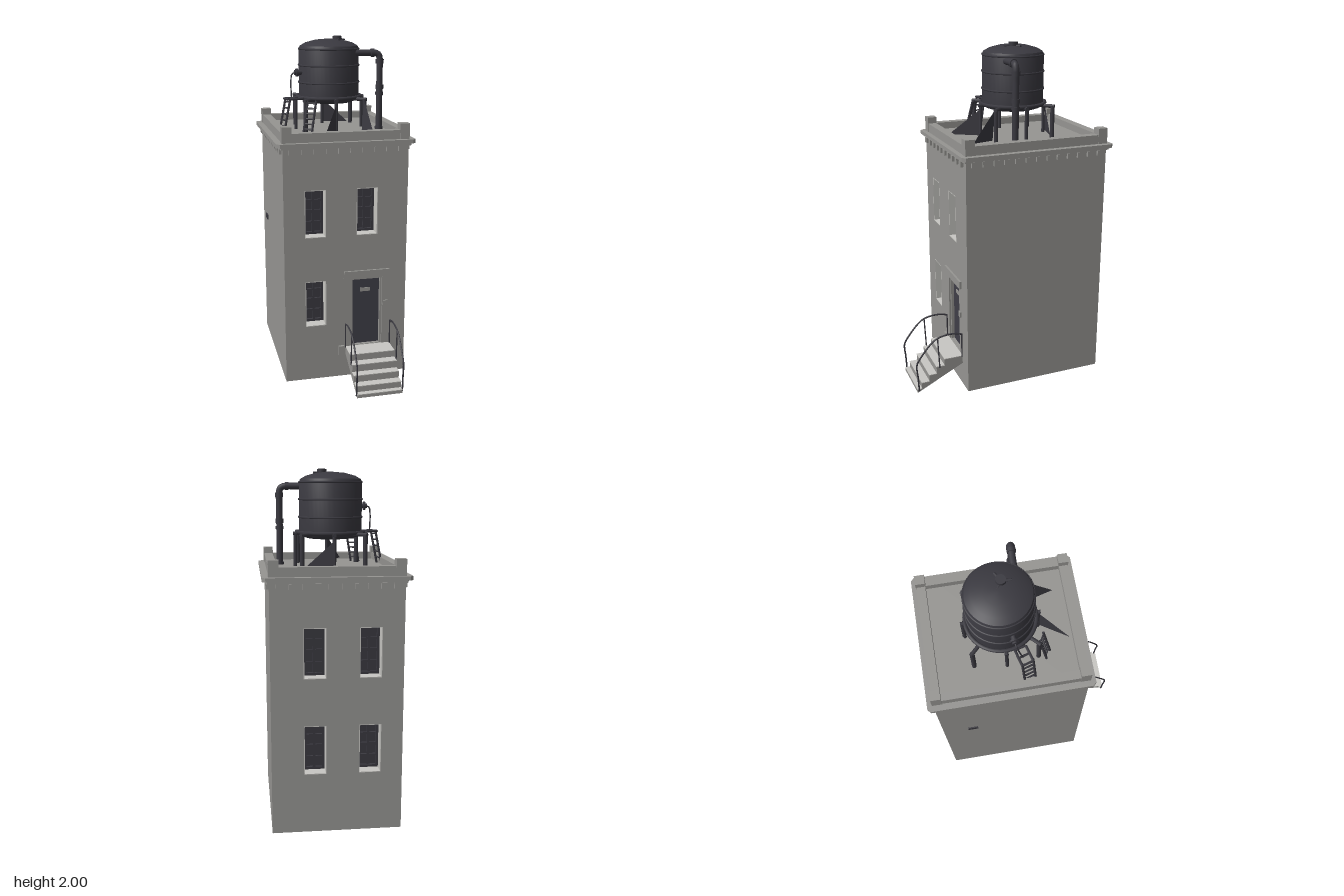
import * as THREE from 'three';
import { toCreasedNormals } from 'three/addons/utils/BufferGeometryUtils.js';

const V = (x, y, z) => new THREE.Vector3(x, y, z);

export function createModel() {
  const model = new THREE.Group();
  model.name = 'rowHouse';
  const stone = new THREE.MeshStandardMaterial({ name: 'grey stone', color: 0x969592 });
  const pale = new THREE.MeshStandardMaterial({ name: 'pale stone', color: 0xc8c7c3 });
  const iron = new THREE.MeshStandardMaterial({ name: 'dark iron', color: 0x3a3940, side: THREE.DoubleSide });
  const doorPaint = new THREE.MeshStandardMaterial({ name: 'door slate', color: 0x3f3e48 });

  // Helpers
  const add = (name, geo, mat, parent = model) => {
    const m = new THREE.Mesh(geo, mat);
    m.name = name;
    parent.add(m);
    return m;
  };
  const box = (name, mat, x0, x1, y0, y1, z0, z1, parent) => {
    const m = add(name, new THREE.BoxGeometry(x1 - x0, y1 - y0, Math.abs(z1 - z0)), mat, parent);
    m.position.set((x0 + x1) / 2, (y0 + y1) / 2, (z0 + z1) / 2);
    return m;
  };
  const rod = (name, a, b, r, mat = iron, sides = 10) => {
    const d = b.clone().sub(a);
    const m = add(name, new THREE.CylinderGeometry(r, r, d.length(), sides), mat);
    m.position.copy(a).addScaledVector(d, 0.5);
    m.quaternion.setFromUnitVectors(V(0, 1, 0), d.normalize());
    return m;
  };
  const rectPoints = (x0, x1, y0, y1) => [[x0, y0], [x1, y0], [x1, y1], [x0, y1]].map(p => new THREE.Vector2(...p));
  const panel = (outer, holes, depth) => {
    const shape = new THREE.Shape(rectPoints(...outer));
    holes.forEach(h => shape.holes.push(new THREE.Path(rectPoints(...h))));
    return new THREE.ExtrudeGeometry(shape, { depth, bevelEnabled: false });
  };

  // Building body: solid core with pierced front and back walls
  const W = 0.364, ZF = 0.3, ZB = -0.56, ZC = -0.13, ROOF = 1.45, REC = 0.09;
  const cols = [[-0.243, -0.12], [0.06, 0.185]], rows = [[0.34, 0.62], [0.885, 1.165]];
  const doorHole = [0.03, 0.22, 0.19, 0.62];
  const frontWindows = [[...cols[0], ...rows[0]], [...cols[0], ...rows[1]], [...cols[1], ...rows[1]]];
  const backWindows = cols.flatMap(c => rows.map(r => [...c, ...r]));
  box('buildingCore', stone, -W, W, 0, ROOF, ZB + REC, ZF - REC);
  add('frontWall', panel([-W, W, 0, ROOF], [...frontWindows, doorHole], REC), stone).position.z = ZF - REC;
  add('backWall', panel([-W, W, 0, ROOF], backWindows, REC), stone).position.z = ZB;

  // Recessed windows: pale reveal, dark pane, frame and glazing bars
  function windowUnit(hole, s) {
    const g = new THREE.Group();
    g.name = 'window';
    model.add(g);
    const [x0, x1, y0, y1] = hole, e = 0.004, f = 0.018;
    const inner = s > 0 ? ZF - REC : ZB + REC;
    add('reveal', panel(hole, [[x0 + e, x1 - e, y0 + e, y1 - e]], REC), pale, g).position.z = s > 0 ? inner : ZB;
    const zBar = inner + s * 0.018;
    box('pane', iron, x0 + e, x1 - e, y0 + e, y1 - e, inner, inner + s * 0.006, g);
    add('frame', panel([x0 + e, x1 - e, y0 + e, y1 - e], [[x0 + f, x1 - f, y0 + f, y1 - f]], 0.022), iron, g)
      .position.z = Math.min(inner, inner + s * 0.022);
    const cx = (x0 + x1) / 2, h = y1 - y0;
    box('mullion', iron, cx - 0.006, cx + 0.006, y0 + f, y1 - f, inner, zBar, g);
    [0.27, 0.5, 0.73].forEach(t => {
      const y = y0 + h * t, r = t === 0.5 ? 0.009 : 0.005;
      box('glazingBar', iron, x0 + f, x1 - f, y - r, y + r, inner, zBar, g);
    });
  }
  frontWindows.forEach(h => windowUnit(h, 1));
  backWindows.forEach(h => windowUnit(h, -1));

  // Door, lintel and wall fittings
  const [dx0, dx1, dy0, dy1] = doorHole;
  box('door', doorPaint, dx0 + 0.012, dx1 - 0.012, dy0, dy1 - 0.012, ZF - REC, 0.272);
  add('doorFrame', panel(doorHole, [[dx0 + 0.012, dx1 - 0.012, dy0 + 0.002, dy1 - 0.012]], 0.08), stone).position.z = ZF - REC;
  box('doorPlate', stone, 0.092, 0.152, 0.525, 0.548, 0.271, 0.276);
  box('doorLintel', stone, -0.015, 0.262, 0.622, 0.668, 0.29, 0.312);
  box('bellBox', stone, 0.226, 0.254, 0.435, 0.468, 0.295, 0.308);
  box('letterBox', stone, -0.045, -0.012, 0.14, 0.2, 0.295, 0.315);
  box('sideVent', iron, -W - 0.007, -W + 0.01, 0.825, 0.855, -0.41, -0.35);

  // Cornice with clipped corners
  const slab = (name, hx, hz, c, y0, y1) => {
    const s = new THREE.Shape([[-hx + c, -hz], [hx - c, -hz], [hx, -hz + c], [hx, hz - c], [hx - c, hz],
      [-hx + c, hz], [-hx, hz - c], [-hx, -hz + c]].map(p => new THREE.Vector2(...p)));
    const geo = new THREE.ExtrudeGeometry(s, { depth: y1 - y0, bevelEnabled: false }).rotateX(-Math.PI / 2);
    add(name, geo, stone).position.set(0, y0, ZC);
  };
  slab('corniceBed', 0.376, 0.442, 0.004, 1.402, 1.416);
  slab('cornice', 0.4, 0.46, 0.018, 1.416, 1.438);

  // Brackets under the cornice on all four sides
  for (let i = 0; i < 10; i++) {
    const x = -0.315 + i * 0.07;
    box('frontBracket', stone, x - 0.015, x + 0.015, 1.372, 1.404, ZF - 0.01, ZF + 0.018);
    box('backBracket', stone, x - 0.015, x + 0.015, 1.372, 1.404, ZB - 0.018, ZB + 0.01);
  }
  for (let i = 0; i < 13; i++) {
    const z = ZC - 0.384 + i * 0.064;
    for (const s of [-1, 1]) {
      box('sideBracket', stone, s * W - 0.014, s * W + 0.014, 1.372, 1.404, z - 0.015, z + 0.015);
    }
  }

  // Parapet and corner posts
  const P = 0.05;
  for (const s of [-1, 1]) {
    box('sideParapet', stone, s > 0 ? W - P : -W, s > 0 ? W : -W + P, 1.43, 1.49, ZB, ZF);
    const z0 = s > 0 ? ZF - P : ZB;
    box('endParapet', stone, -W + P, W - P, 1.43, 1.49, z0, z0 + P);
    for (const t of [-1, 1]) {
      const x0 = t > 0 ? W - P - 0.003 : -W - 0.003;
      box('cornerPost', stone, x0, x0 + P + 0.006, 1.43, 1.527, z0 - 0.003, z0 + P + 0.003);
    }
  }

  // Front steps with a sloping underside and pale treads
  const steps = [[0.414, 0.187], [0.464, 0.145], [0.51, 0.1], [0.557, 0.058], [0.585, 0.02]];
  const profile = [new THREE.Vector2(0.29, 0.145), new THREE.Vector2(0.583, 0)];
  for (let i = steps.length - 1; i >= 0; i--) {
    profile.push(new THREE.Vector2(steps[i][0], i === 4 ? 0.001 : steps[i + 1][1]), new THREE.Vector2(...steps[i]));
  }
  profile.push(new THREE.Vector2(0.29, 0.187));
  const stepGeo = new THREE.ExtrudeGeometry(new THREE.Shape(profile), { depth: 0.27, bevelEnabled: false });
  add('frontSteps', stepGeo.rotateY(-Math.PI / 2), stone).position.x = 0.268;
  steps.forEach(([z, y], i) => box('tread', pale, -0.003, 0.269, y, y + 0.004, i ? steps[i - 1][0] : 0.3, z + 0.001));

  // Handrails
  for (const x of [-0.004, 0.27]) {
    const path = new THREE.CatmullRomCurve3([V(x, 0.01, 0.575), V(x, 0.1, 0.58), V(x, 0.185, 0.585), V(x, 0.23, 0.56),
      V(x, 0.325, 0.475), V(x, 0.345, 0.42), V(x, 0.347, 0.35), V(x, 0.335, 0.305)], false, 'centripetal');
    add('handrail', new THREE.TubeGeometry(path, 32, 0.005, 6), iron);
    rod('handrailPost', V(x, 0.14, 0.445), V(x, 0.335, 0.455), 0.004, iron, 6);
    rod('handrailWallPost', V(x, 0.185, 0.305), V(x, 0.338, 0.305), 0.004, iron, 6);
  }

  // Water tank
  const TX = -0.008, TZ = -0.13;
  const body = [[0, 1.605], [0.13, 1.61], [0.165, 1.622], [0.18, 1.645], [0.18, 1.925], [0.172, 1.942],
    [0.14, 1.96], [0.08, 1.976], [0, 1.983]].map(p => new THREE.Vector2(...p));
  add('tankBody', toCreasedNormals(new THREE.LatheGeometry(body, 40), 0.5), iron).position.set(TX, 0, TZ);
  [[1.645, 0.19, 0.011], [1.73, 0.18, 0.006], [1.83, 0.18, 0.006], [1.925, 0.178, 0.006]].forEach(([y, r, t]) => {
    const ring = add('tankBand', new THREE.TorusGeometry(r, t, 6, 40), iron);
    ring.rotation.x = Math.PI / 2;
    ring.position.set(TX, y, TZ);
  });
  rod('tankHatch', V(0.04, 1.965, -0.11), V(0.04, 1.998, -0.11), 0.027, iron, 16);
  for (const a of [0.5, 2.6, 4.7]) {
    rod('hatchArm', V(0.04, 1.979, -0.11), V(0.04 + 0.055 * Math.cos(a), 1.975, -0.11 - 0.055 * Math.sin(a)), 0.007);
  }

  // Tank legs: heavier on the diagonals
  for (let i = 0; i < 8; i++) {
    const a = i * Math.PI / 4, diagonal = i % 2 === 1;
    const at = (r, y) => V(TX + r * Math.cos(a), y, TZ + r * Math.sin(a));
    const r = diagonal ? 0.25 : 0.203;
    rod('tankLeg', at(r, ROOF - 0.01), at(r, 1.64), diagonal ? 0.013 : 0.01, iron, 8);
    rod('legBracket', at(0.16, 1.637), at(r + 0.012, 1.637), 0.011, iron, 8);
  }

  // Thin bracing plates between legs and roof
  const brace = pts => add('bracePlate', new THREE.BufferGeometry().setFromPoints(pts), iron).geometry.computeVertexNormals();
  brace([V(-0.01, 1.61, 0.08), V(-0.11, 1.46, 0.235), V(-0.01, 1.46, 0.08)]);
  brace([V(0.165, 1.64, 0.05), V(0.185, 1.46, 0.19), V(0.15, 1.46, 0.06)]);
  brace([V(-0.01, 1.61, -0.345), V(0.15, 1.46, -0.305), V(-0.01, 1.46, -0.345)]);

  // Overflow pipe with collars
  const pipe = new THREE.CatmullRomCurve3([V(0.12, 1.902, -0.03), V(0.19, 1.902, -0.03), V(0.245, 1.902, -0.028),
    V(0.27, 1.893, -0.026), V(0.279, 1.865, -0.025), V(0.279, 1.8, -0.025), V(0.279, 1.44, -0.025)], false, 'centripetal');
  add('overflowPipe', new THREE.TubeGeometry(pipe, 48, 0.019, 14), iron);
  [[1.84, 1.865], [1.69, 1.715], [1.655, 1.672], [1.45, 1.465]].forEach(([a, b]) =>
    rod('pipeCollar', V(0.279, a, -0.025), V(0.279, b, -0.025), 0.024, iron, 14));
  rod('pipeCollar', V(0.225, 1.902, -0.028), V(0.245, 1.902, -0.028), 0.024, iron, 14);

  // Ladders
  function ladder(name, bottom, top, half, count) {
    for (const s of [-1, 1]) {
      rod(name + 'Rail', bottom.clone().addScaledVector(half, s), top.clone().addScaledVector(half, s), 0.007, iron, 6);
    }
    for (let i = 1; i <= count; i++) {
      const p = bottom.clone().lerp(top, i / (count + 0.5));
      rod(name + 'Rung', p.clone().sub(half), p.clone().add(half), 0.005, iron, 6);
    }
  }
  ladder('stepLadder', V(-0.315, ROOF, -0.02), V(-0.275, 1.645, -0.03), V(0.009, 0, 0.03), 5);
  ladder('tankLadder', V(-0.185, ROOF, 0.1), V(-0.15, 1.64, 0.065), V(0.022, 0, 0.013), 6);

  // Service platform, valve and hose
  const half = V(0.009, 0, 0.03), outer = V(-0.285, 1.643, -0.03), inner = V(-0.195, 1.643, -0.055);
  for (const s of [-1, 1]) {
    rod('platformEdge', outer.clone().addScaledVector(half, s), inner.clone().addScaledVector(half, s), 0.007, iron, 6);
  }
  for (const t of [0, 0.5, 1]) {
    const p = outer.clone().lerp(inner, t);
    rod('platformSlat', p.clone().sub(half), p.clone().add(half), 0.006, iron, 6);
  }
  rod('valveBody', V(-0.17, 1.79, -0.09), V(-0.225, 1.79, -0.085), 0.014);
  rod('valveWheel', V(-0.205, 1.79, -0.087), V(-0.215, 1.79, -0.086), 0.024, iron, 14);
  const hose = new THREE.CatmullRomCurve3([V(-0.22, 1.79, -0.085), V(-0.24, 1.782, -0.08), V(-0.249, 1.74, -0.07), V(-0.25, 1.645, -0.05)]);
  add('hose', new THREE.TubeGeometry(hose, 20, 0.004, 6), iron);

  return model;
}
